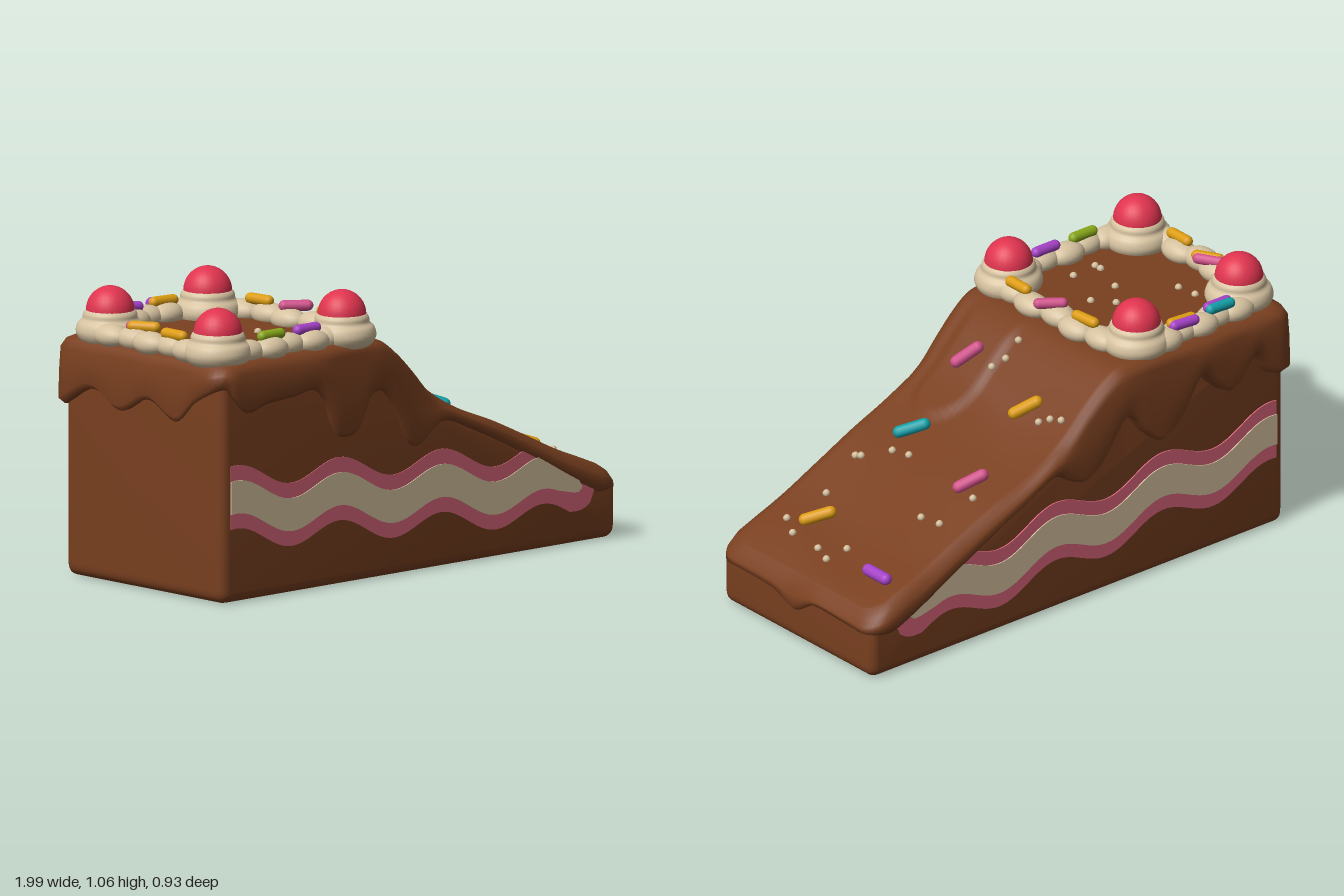
import * as THREE from 'three';
import { toCreasedNormals } from 'three/addons/utils/BufferGeometryUtils.js';

const { clamp, smoothstep, lerp } = THREE.MathUtils;
const mat = (name, color, opts = {}) => {
  const m = new THREE.MeshStandardMaterial({ color, ...opts });
  m.name = name;
  return m;
};

// Smooth curve y(x) through a few points
const curve = (pts) => (x) => {
  const n = pts.length - 1;
  if (x <= pts[0][0]) return pts[0][1];
  if (x >= pts[n][0]) return pts[n][1];
  let i = 0;
  while (x > pts[i + 1][0]) i++;
  const slope = (k) => {
    const a = pts[Math.max(k - 1, 0)], b = pts[Math.min(k + 1, n)];
    return (b[1] - a[1]) / (b[0] - a[0]);
  };
  const [x0, y0] = pts[i], [x1, y1] = pts[i + 1];
  const w = x1 - x0, t = (x - x0) / w, t2 = t * t, t3 = t2 * t;
  return (2 * t3 - 3 * t2 + 1) * y0 + (t3 - 2 * t2 + t) * w * slope(i)
    + (3 * t2 - 2 * t3) * y1 + (t3 - t2) * w * slope(i + 1);
};

// Icing height along the slice, and its dripping lower edges
const topLine = curve([[-1, 0.87], [-0.5, 0.875], [-0.2, 0.87], [-0.12, 0.83], [-0.03, 0.75], [0.06, 0.66],
  [0.2, 0.58], [0.385, 0.5], [0.545, 0.42], [0.7, 0.345], [0.87, 0.285], [0.95, 0.25], [1, 0.21]]);
const frontDrip = curve([[-0.96, 0.78], [-0.87, 0.69], [-0.76, 0.71], [-0.63, 0.72], [-0.53, 0.73], [-0.47, 0.66],
  [-0.44, 0.57], [-0.37, 0.54], [-0.3, 0.57], [-0.26, 0.66], [-0.18, 0.68], [-0.11, 0.58], [-0.05, 0.475],
  [0.01, 0.46], [0.12, 0.53], [0.25, 0.49], [0.55, 0.34], [0.87, 0.18], [0.95, 0.17]]);
const backDrip = curve([[-0.96, 0.62], [-0.9, 0.63], [-0.8, 0.74], [-0.74, 0.68], [-0.69, 0.63], [-0.63, 0.67],
  [-0.54, 0.74], [-0.43, 0.59], [-0.36, 0.54], [-0.29, 0.59], [-0.2, 0.68], [-0.08, 0.52], [-0.02, 0.48],
  [0.05, 0.5], [0.13, 0.54], [0.3, 0.46], [0.55, 0.33], [0.87, 0.18], [0.95, 0.17]]);
const tallEndDrip = curve([[-0.42, 0.62], [-0.25, 0.7], [-0.1, 0.64], [0.05, 0.7], [0.2, 0.64], [0.3, 0.72], [0.42, 0.78]]);
const lowEndDrip = curve([[-0.42, 0.17], [-0.25, 0.18], [-0.1, 0.18], [0.02, 0.12], [0.12, 0.16], [0.25, 0.17], [0.42, 0.17]]);

function surface(x, z) {
  // A thicker run of icing at the head of the slope, plus soft waves
  const px = clamp(x, -0.15, 0.1);
  const d = Math.hypot(x - px, z - 0.2);
  const run = 0.016 * (1 - smoothstep(d, 0.1, 0.135)) * smoothstep(x, -0.2, -0.05);
  const wave = 0.008 * Math.sin(7 * x + 9 * z) * smoothstep(x, -0.1, 0.2) * (1 - smoothstep(x, 0.8, 0.95));
  return topLine(x) + run + wave;
}

function icingGeometry() {
  const r = 0.08, a = 0.985, b = 0.45, H = Math.PI / 2;
  const outline = new THREE.Shape();
  outline.absarc(a - r, b - r, r, 0, H);
  outline.absarc(-a + r, b - r, r, H, 2 * H);
  outline.absarc(-a + r, -b + r, r, 2 * H, 3 * H);
  outline.absarc(a - r, -b + r, r, 3 * H, 4 * H);
  outline.closePath();
  const loop = outline.getSpacedPoints(260).slice(0, -1);
  const n = loop.length, pos = [], idx = [];
  // Each ring: outward offset, height above the drip or below the top, share of the width
  const rings = [[-0.09, 'low', 0.012, 1], [-0.012, 'low', 0, 1], [0.006, 'low', 0.02, 1], [0.004, 'mid', 0, 1],
    [0, 'top', 0.04, 1], [-0.014, 'top', 0.013, 1], [-0.04, 'top', 0, 1]];
  for (let k = 1; k <= 24; k++) rings.push([-0.04, 'top', 0, 1 - k / 24]);
  rings.forEach(([o, kind, v, share], i) => {
    loop.forEach((p, j) => {
      const x = p.x * (1 + o);
      const width = lerp(1, 0.945, smoothstep(x, -0.3, 0.1)) + 0.008 * Math.sin(9 * x);
      const z = -0.012 + p.y * (1 + o / b) * width * share;
      let low = p.y > 0 ? frontDrip(p.x) : backDrip(p.x);
      if (p.x < -0.94) low = tallEndDrip(p.y);
      if (p.x > 0.94) low = lowEndDrip(p.y);
      const top = surface(x, z), h = Math.max(top - low, 0.03), k = Math.min(1, h / 0.1);
      const y = kind === 'low' ? low + v * k : kind === 'mid' ? low + h * 0.5 : top - v * k;
      pos.push(x, y, z);
      if (!i) return;
      const c = i * n + j, d = i * n + (j + 1) % n;
      idx.push(c - n, c, d - n, d - n, c, d);
    });
  });
  const g = new THREE.BufferGeometry();
  g.setAttribute('position', new THREE.Float32BufferAttribute(pos, 3));
  g.setIndex(idx);
  g.computeVertexNormals();
  return g;
}

function spongeGeometry() {
  const s = new THREE.Shape(), bevel = 0.035;
  s.moveTo(-0.92, 0);
  s.lineTo(0.93, 0);
  s.quadraticCurveTo(0.975, 0, 0.975, 0.05);
  for (let x = 0.975; x > -0.96; x -= 0.04) s.lineTo(x, topLine(x) - 0.04);
  s.lineTo(-0.96, 0.83);
  s.lineTo(-0.96, 0.05);
  s.quadraticCurveTo(-0.96, 0, -0.92, 0);
  const g = new THREE.ExtrudeGeometry(s, { depth: 0.825 - 2 * bevel, bevelEnabled: true, bevelSize: bevel,
    bevelThickness: bevel, bevelOffset: -bevel, bevelSegments: 4, curveSegments: 6 });
  g.translate(0, 0, -0.4175 + bevel);
  return toCreasedNormals(g, 0.6);
}

// Wavy filling stripe, trimmed along the icing
function stripeGeometry(half, drip, end, depth) {
  const upper = [], lower = [];
  for (let i = 0; i <= 90; i++) {
    const x = lerp(-0.92, end, i / 90);
    const mid = 0.285 - 0.07 * x + 0.04 * Math.cos((x - 0.12) * 4 * Math.PI);
    const h = half * Math.sqrt(clamp((end - x) / 0.12, 0, 1));
    const low = mid - h;
    upper.push(new THREE.Vector2(x, Math.max(low + 0.001, Math.min(mid + h, drip(x) + 0.02))));
    lower.push(new THREE.Vector2(x, low));
  }
  return new THREE.ExtrudeGeometry(new THREE.Shape([...lower, ...upper.reverse()]), { depth, bevelEnabled: false });
}

export function createModel() {
  const group = new THREE.Group();
  const chocolate = mat('chocolate', 0x7a4020);
  const cream = mat('cream', 0xd6c2a0);
  const filling = mat('pink filling', 0xd8667a);
  const cherry = mat('cherry red', 0xe0344f);
  const gold = mat('gold', 0xdc9c10), purple = mat('purple', 0xa642c8), teal = mat('teal', 0x12a0a8);
  const green = mat('green', 0x88a81a), pink = mat('pink', 0xd0508a);
  const add = (name, geo, material, x = 0, y = 0, z = 0) => {
    const m = new THREE.Mesh(geo, material);
    m.name = name;
    m.position.set(x, y, z);
    group.add(m);
    return m;
  };

  add('sponge', spongeGeometry(), chocolate);
  add('icing', icingGeometry(), chocolate);

  // Filling stripes on both long sides
  add('frontFilling', stripeGeometry(0.115, frontDrip, 0.86, 0.006), filling, 0, 0, 0.405);
  add('frontCream', stripeGeometry(0.06, frontDrip, 0.8, 0.006), cream, 0, 0, 0.409);
  add('backFilling', stripeGeometry(0.115, backDrip, 0.86, 0.006), filling, 0, 0, -0.4225);
  add('backCream', stripeGeometry(0.06, backDrip, 0.8, 0.006), cream, 0, 0, -0.4265);

  // Corner swirls with cherries
  const swirl = new THREE.LatheGeometry(new THREE.SplineCurve([[0, -0.02], [0.09, -0.015], [0.122, 0.02], [0.118, 0.055],
    [0.1, 0.075], [0.096, 0.095], [0.075, 0.11], [0, 0.112]].map((p) => new THREE.Vector2(...p))).getPoints(28), 32);
  const dome = new THREE.SphereGeometry(0.088, 28, 18);
  const corners = [[-0.875, 0.295], [-0.305, 0.335], [-0.345, -0.325], [-0.86, -0.285]];
  corners.forEach(([x, z]) => {
    add('creamSwirl', swirl, cream, x, 0.865, z);
    add('cherry', dome, cherry, x, 0.966, z).scale.set(1, 1.03, 1);
  });

  // Piped border: overlapping dabs along each side
  const sides = [[-0.79, 0.36, -0.39, 0.36], [-0.25, 0.25, -0.25, -0.24], [-0.42, -0.385, -0.77, -0.365], [-0.925, -0.2, -0.925, 0.21]];
  const dab = new THREE.SphereGeometry(1, 20, 14);
  sides.forEach(([x0, z0, x1, z1], s) => {
    const alongX = s % 2 === 0;
    for (let i = 0; i < 5; i++) {
      const t = i / 4, off = (i % 2 ? 0.012 : -0.008);
      add('creamDab', dab, cream, lerp(x0, x1, t) + (alongX ? 0 : off), 0.895, lerp(z0, z1, t) + (alongX ? off : 0))
        .scale.set(alongX ? 0.075 : 0.054, 0.043, alongX ? 0.054 : 0.08);
    }
  });

  // Sprinkles: colour, x, z, direction x, direction z, height (left out on the slope)
  const stick = new THREE.CapsuleGeometry(0.02, 0.085, 6, 14);
  const up = new THREE.Vector3(0, 1, 0);
  [[purple, -0.69, -0.366, 1, 0, 0.942], [teal, -0.69, -0.382, 1, 0.05, 0.94], [gold, -0.51, -0.38, 1, 0.1, 0.942],
    [purple, -0.51, -0.395, 1, 0.1, 0.938], [gold, -0.9, -0.065, 0.5, 0.9, 0.942], [pink, -0.893, -0.08, 0.5, 0.9, 0.938],
    [gold, -0.925, 0.12, 0, 1, 0.942], [green, -0.675, 0.36, 1, 0, 0.942], [purple, -0.5, 0.36, 1, 0, 0.942],
    [gold, -0.25, -0.155, 0.1, 1, 0.945], [pink, -0.235, 0.02, 0.8, 0.6, 0.945], [gold, -0.237, 0.2, 0, 1, 0.945],
    [gold, 0.04, -0.165, 0.75, 0.8], [pink, 0.36, -0.24, 1, 0.45], [purple, 0.82, -0.265, 0, 1],
    [pink, 0.005, 0.2, 0.9, 0.8], [teal, 0.285, 0.175, 1, 0.8], [gold, 0.73, 0.17, 1, 0.75],
  ].forEach(([m, x, z, dx, dz, y]) => {
    const rise = y ? 0 : dx * (topLine(x + 0.04) - topLine(x - 0.04)) / 0.08;
    const mesh = add('sprinkle', stick, m, x, y ?? surface(x, z) + 0.016, z);
    mesh.quaternion.setFromUnitVectors(up, new THREE.Vector3(dx, rise, dz).normalize());
    if (!y) mesh.scale.set(1.12, 1.12, 1.12);
  });

  // Crumbs: x and z in hundredths
  const crumb = new THREE.SphereGeometry(0.014, 8, 6);
  [[-76, -16], [-75, -8], [-50, -3], [-44, 4], [-58, 7], [-63, 21], [-63, 24], [-52, 23], [2, -34], [3, -29], [5, -25],
    [40, -30], [54, -28], [55, -19], [37, 9], [45, 26], [46, 28], [38, 17], [77, -4], [85, -2], [83, 5], [83, 19],
    [79, 27], [63, 24], [-11, 5], [-5, 5], [-1, 8]].forEach(([x, z]) =>
    add('crumb', crumb, cream, x / 100, surface(x / 100, z / 100) + 0.003, z / 100));

  return group;
}
